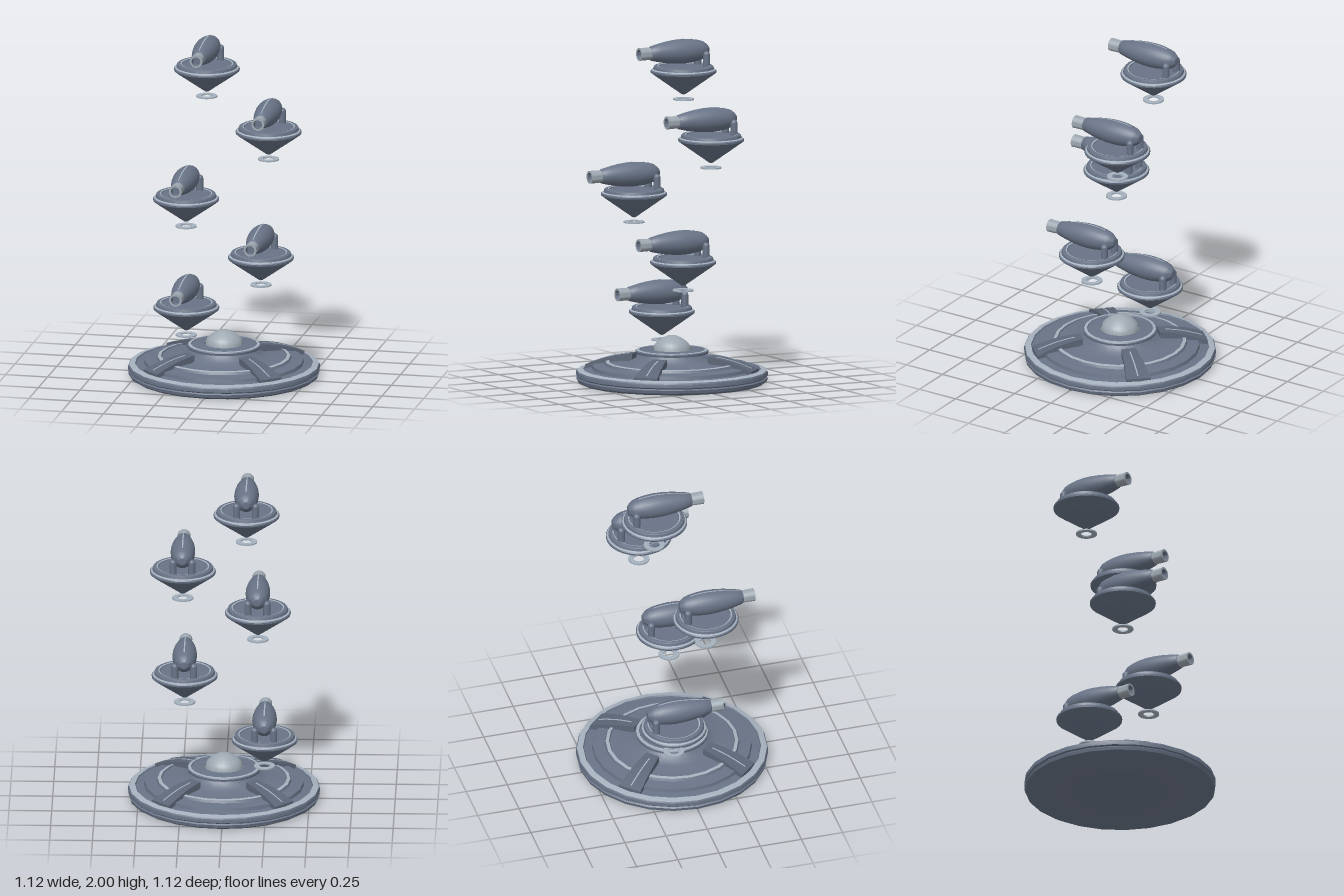
import * as THREE from 'three';
import { toCreasedNormals } from 'three/addons/utils/BufferGeometryUtils.js';

const material = (name, color) => new THREE.MeshStandardMaterial({ name, color });

// Turned part from [radius, height] points, listed bottom to top along the outside
function turned(points, segments = 24, start = 0, length = Math.PI * 2) {
  const profile = points.map(([r, y]) => new THREE.Vector2(r, y));
  return toCreasedNormals(new THREE.LatheGeometry(profile, segments, start, length), 0.6);
}

function add(parent, name, geometry, mat) {
  const mesh = new THREE.Mesh(geometry, mat);
  mesh.name = name;
  parent.add(mesh);
  return mesh;
}

// Tapered slab running outwards along +z over the stepped base
function slab(inner, outer, innerWidth, outerWidth, lift, bottom) {
  const geo = new THREE.BoxGeometry(1, 1, 1, 1, 1, 8);
  const p = geo.attributes.position;
  for (let i = 0; i < p.count; i++) {
    const t = p.getZ(i) + 0.5;
    const r = THREE.MathUtils.lerp(inner, outer, t);
    const u = (r - 0.23) / 0.28;
    const top = 0.165 - 0.07 * u + 0.012 * Math.sin(u * Math.PI) + lift;
    const width = THREE.MathUtils.lerp(innerWidth, outerWidth, t);
    p.setXYZ(i, p.getX(i) * width, p.getY(i) > 0 ? top : top - bottom, r);
  }
  geo.computeVertexNormals();
  return toCreasedNormals(geo, 0.6);
}

export function createModel() {
  const body = material('slate', 0x687386);
  const arm = material('dark slate', 0x5c6677);
  const trim = material('pale trim', 0xa5b1be);
  const metal = material('light metal', 0x9ea8b1);
  const model = new THREE.Group();
  model.name = 'floatingCannons';

  // Stepped round base
  const base = new THREE.Group();
  base.name = 'base';
  model.add(base);
  add(base, 'baseRim', turned([[0, 0], [0.535, 0], [0.555, 0.012], [0.56, 0.03],
    [0.552, 0.037], [0.56, 0.044], [0.56, 0.066], [0.555, 0.074]]), body);
  add(base, 'rimTrim', turned([[0.555, 0.074], [0.52, 0.082]]), trim);
  add(base, 'baseDeck', turned([[0.52, 0.082], [0.515, 0.074], [0.467, 0.08], [0.463, 0.1],
    [0.395, 0.108], [0.388, 0.122]]), body);
  add(base, 'deckTrim', turned([[0.388, 0.122], [0.368, 0.125]]), trim);
  add(base, 'innerDeck', turned([[0.368, 0.125], [0.364, 0.116], [0.255, 0.122], [0.225, 0.136],
    [0.2, 0.155], [0.188, 0.172], [0.212, 0.175], [0.215, 0.188], [0.21, 0.194]]), body);
  add(base, 'collarTrim', turned([[0.21, 0.194], [0.193, 0.196]]), trim);
  add(base, 'collarTop', turned([[0.193, 0.196], [0.188, 0.19], [0.115, 0.196], [0.115, 0.19]]), body);
  add(base, 'dome', turned([[0.11, 0.19], [0.108, 0.205], [0.1, 0.228], [0.08, 0.246],
    [0.055, 0.264], [0.028, 0.276], [0, 0.28]]), metal);

  // Four diagonal arms with centre strips
  for (let i = 0; i < 4; i++) {
    const group = new THREE.Group();
    group.name = 'baseArm';
    group.rotation.y = Math.PI / 4 + i * Math.PI / 2;
    add(group, 'armSlab', slab(0.23, 0.51, 0.085, 0.145, 0, 0.06), arm);
    add(group, 'armStrip', slab(0.27, 0.49, 0.007, 0.007, 0.003, 0.008), trim);
    base.add(group);
  }

  // Shared cannon geometry
  const barrelPoints = [[0, -0.162], [0.022, -0.16], [0.036, -0.147], [0.052, -0.125], [0.061, -0.095],
    [0.069, -0.045], [0.072, 0], [0.0705, 0.05], [0.064, 0.11], [0.054, 0.165], [0.042, 0.215], [0.036, 0.222]];
  const alongZ = (geo) => geo.rotateX(Math.PI / 2);
  const barrel = alongZ(turned(barrelPoints));
  const stripPoints = barrelPoints.slice(4, 11).map(([r, y]) => [r + 0.002, y]);
  const strip = alongZ(turned(stripPoints, 1, Math.PI - 0.055, 0.11));
  const muzzle = alongZ(turned([[0.036, 0.218], [0.038, 0.293], [0.026, 0.293]]));
  const bore = alongZ(turned([[0.026, 0.293], [0.025, 0.25], [0, 0.25]]));
  const hull = turned([[0, 0.026], [0.012, 0.03], [0.12, 0.106], [0.175, 0.145], [0.192, 0.158],
    [0.193, 0.168], [0.188, 0.174]], 32);
  const hullTrim = turned([[0.188, 0.174], [0.178, 0.179]], 32);
  const deck = turned([[0.178, 0.179], [0.174, 0.194], [0.168, 0.198], [0.154, 0.198]], 32);
  const deckTrim = turned([[0.154, 0.198], [0.146, 0.196]], 32);
  const deckFloor = turned([[0.146, 0.196], [0.143, 0.19], [0, 0.19]], 32);
  const post = new THREE.CapsuleGeometry(0.021, 0.07, 6, 14);
  const ring = turned([[0.032, -0.004], [0.062, -0.004], [0.062, 0.004], [0.032, 0.004], [0.032, -0.004]]);

  // Five floating cannons, listed as [x, z]
  const places = [[-0.238, -0.057], [0.231, 0.047], [-0.194, 0.149], [0.237, -0.134], [-0.135, -0.146]];
  places.forEach(([x, z], i) => {
    const cannon = new THREE.Group();
    cannon.name = 'cannon' + (i + 1);
    cannon.position.set(x, 0.22 + i * 0.3562, z);
    add(cannon, 'hoverRing', ring, trim);
    add(cannon, 'hull', hull, body);
    add(cannon, 'hullTrim', hullTrim, trim);
    add(cannon, 'deck', deck, body);
    add(cannon, 'deckTrim', deckTrim, trim);
    add(cannon, 'deckFloor', deckFloor, body);
    for (const side of [-1, 1]) {
      add(cannon, 'post', post, body).position.set(side * 0.055, 0.226, -0.122);
    }
    const gun = new THREE.Group();
    gun.name = 'gun';
    gun.position.y = 0.282;
    add(gun, 'barrel', barrel, body);
    add(gun, 'barrelStrip', strip, trim);
    add(gun, 'muzzle', muzzle, metal);
    add(gun, 'bore', bore, body);
    cannon.add(gun);
    model.add(cannon);
  });
  return model;
}
